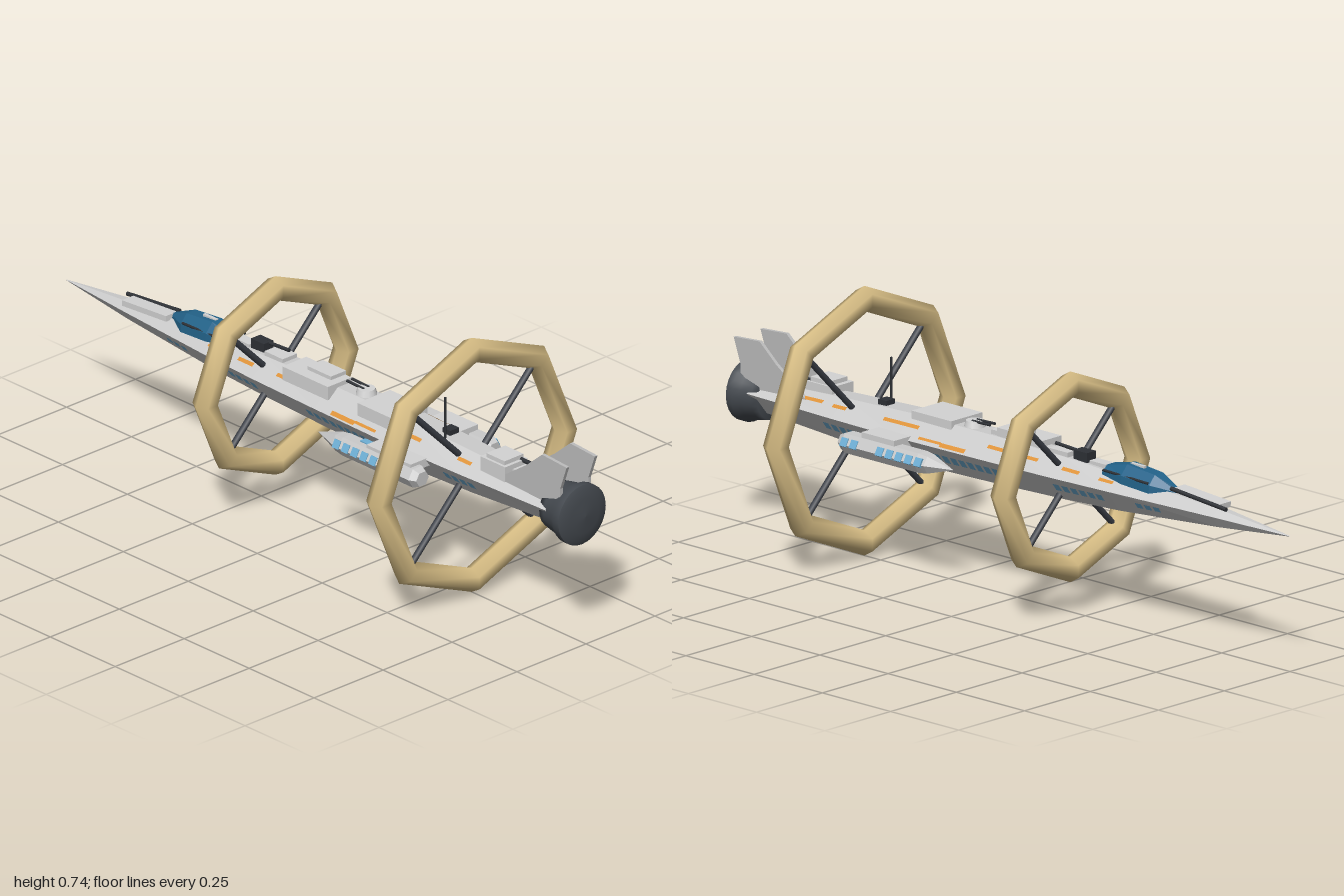
import * as THREE from 'three';

const mat = (name, color, side = THREE.FrontSide) => {
  const m = new THREE.MeshStandardMaterial({ color, side });
  m.name = name;
  return m;
};

// Hull stations: z, half width, keel y, shoulder y, deck y
const STATIONS = [
  [-1, 0.001, 0.374, 0.375, 0.376],
  [-0.75, 0.036, 0.352, 0.384, 0.401],
  [-0.4, 0.072, 0.329, 0.39, 0.425],
  [-0.2, 0.083, 0.321, 0.39, 0.436],
  [0.05, 0.09, 0.314, 0.39, 0.442],
  [0.35, 0.095, 0.309, 0.39, 0.443],
  [0.6, 0.088, 0.317, 0.39, 0.434],
  [0.92, 0.074, 0.335, 0.39, 0.418],
];
const DECK = 0.32, KEEL = 0.38;

// Interpolated station at any z
function stationAt(z) {
  let i = 0;
  while (i < STATIONS.length - 2 && STATIONS[i + 1][0] < z) i++;
  const a = STATIONS[i], b = STATIONS[i + 1], t = (z - a[0]) / (b[0] - a[0]);
  return a.map((v, k) => v + (b[k] - v) * t);
}
const deckY = (z) => stationAt(z)[4];

// Flat-shaded skin over cross-sections ordered by rising z, points counterclockwise from +z
function loft(sections) {
  const pos = [], n = sections[0].length;
  const tri = (...pts) => pts.forEach((p) => pos.push(...p));
  for (let i = 0; i < sections.length - 1; i++) {
    for (let j = 0; j < n; j++) {
      const k = (j + 1) % n, s = sections[i], e = sections[i + 1];
      tri(s[j], s[k], e[k]);
      tri(s[j], e[k], e[j]);
    }
  }
  const first = sections[0], last = sections[sections.length - 1];
  for (let j = 1; j < n - 1; j++) {
    tri(first[0], first[j + 1], first[j]);
    tri(last[0], last[j], last[j + 1]);
  }
  const g = new THREE.BufferGeometry();
  g.setAttribute('position', new THREE.Float32BufferAttribute(pos, 3));
  g.computeVertexNormals();
  return g;
}

const hexSection = (x, y, z, rx, ry) => [0, 1, 2, 3, 4, 5].map((i) => {
  const a = i * Math.PI / 3;
  return [x + rx * Math.cos(a), y + ry * Math.sin(a), z];
});

export function createModel() {
  const model = new THREE.Group();
  model.name = 'spaceship';
  const hullGrey = mat('hullGrey', 0xcbcbcb);
  const panelGrey = mat('panelGrey', 0xd4d4d4);
  const finGrey = mat('finGrey', 0xbcbcbc);
  const ringTan = mat('ringTan', 0xd9bf86);
  const strutDark = mat('strutDark', 0x3c4048);
  const engineDark = mat('engineDark', 0x454a50);
  const gunDark = mat('gunDark', 0x2e3136);
  const canopyBlue = mat('canopyBlue', 0x23638a);
  const windowBlue = mat('windowBlue', 0x6fb0d6, THREE.DoubleSide);
  const stripeOrange = mat('stripeOrange', 0xdd9238, THREE.DoubleSide);

  const add = (name, geometry, material, x = 0, y = 0, z = 0) => {
    const m = new THREE.Mesh(geometry, material);
    m.name = name;
    m.position.set(x, y, z);
    model.add(m);
    return m;
  };
  // Box given by its extents
  const box = (name, material, x0, x1, y0, y1, z0, z1) => add(name,
    new THREE.BoxGeometry(x1 - x0, y1 - y0, z1 - z0), material,
    (x0 + x1) / 2, (y0 + y1) / 2, (z0 + z1) / 2);
  // Round bar between two points
  const bar = (name, material, a, b, r, sides = 8) => {
    const p = new THREE.Vector3(...a), d = new THREE.Vector3(...b).sub(p);
    const m = add(name, new THREE.CylinderGeometry(r, r, d.length(), sides), material);
    m.position.copy(p).addScaledVector(d, 0.5);
    m.quaternion.setFromUnitVectors(new THREE.Vector3(0, 1, 0), d.normalize());
    return m;
  };

  // Hull
  add('hull', loft(STATIONS.map(([z, w, lo, mid, hi]) => [
    [w, mid, z], [w * DECK, hi, z], [-w * DECK, hi, z],
    [-w, mid, z], [-w * KEEL, lo, z], [w * KEEL, lo, z],
  ])), hullGrey);

  // Thin plate lying on an upper or lower hull side, t runs from the shoulder outwards
  const hullPlate = (name, material, side, upper, z0, z1, t0, t1) => {
    const point = (z, t) => {
      const [, w, lo, mid, hi] = stationAt(z);
      const end = upper ? DECK : KEEL;
      return [side * (w * (1 + (end - 1) * t) + 0.002),
        mid + ((upper ? hi : lo) - mid) * t + (upper ? 0.003 : -0.002), z];
    };
    const c = [point(z0, t0), point(z1, t0), point(z1, t1), point(z0, t1)];
    const order = side * (upper ? 1 : -1) > 0 ? [0, 2, 1, 0, 3, 2] : [0, 1, 2, 0, 2, 3];
    const g = new THREE.BufferGeometry();
    g.setAttribute('position', new THREE.Float32BufferAttribute(order.flatMap((i) => c[i]), 3));
    g.computeVertexNormals();
    add(name, g, material);
  };

  for (const side of [-1, 1]) {
    // Rows of hull windows: start z, count
    for (const [start, count] of [[-0.565, 3], [-0.37, 6], [0.0, 8], [0.53, 4]]) {
      for (let i = 0; i < count; i++) {
        const z = start + i * 0.03;
        hullPlate('hullWindow', windowBlue, side, false, z, z + 0.021, 0.25, 0.54);
      }
    }
    // Orange markings
    for (const [z0, z1, t0, t1] of [
      [-0.4, -0.35, 0.4, 0.56], [-0.28, -0.22, 0.4, 0.56], [-0.13, 0.05, 0.46, 0.6],
      [0.11, 0.2, 0.04, 0.2], [0.2, 0.28, 0.12, 0.22], [0.3, 0.43, 0.46, 0.6],
      [0.57, 0.62, 0.45, 0.6], [0.66, 0.79, 0.5, 0.66],
    ]) hullPlate('orangeMarking', stripeOrange, side, true, z0, z1, t0, t1);
  }

  // Eight-sided rings with diagonal struts
  for (const [z, outer] of [[0.56, 0.371], [-0.195, 0.29]]) {
    add('ring', new THREE.TorusGeometry(outer - 0.035, 0.035, 6, 8), ringTan, 0, 0.374, z);
    for (let i = 0; i < 4; i++) {
      const a = Math.PI / 4 + i * Math.PI / 2, r = outer - 0.06;
      bar('strut', strutDark, [0.03 * Math.cos(a), 0.374 + 0.03 * Math.sin(a), z],
        [r * Math.cos(a), 0.374 + r * Math.sin(a), z], 0.009);
    }
  }

  // Engine bell with a shallow domed end
  const bell = [[0, 0.89], [0.066, 0.89], [0.07, 0.91], [0.076, 0.945], [0.086, 0.965], [0.086, 0.985]];
  add('engineBell', new THREE.LatheGeometry(bell.map(([r, z]) => new THREE.Vector2(r, z)), 24), engineDark, 0, 0.375)
    .rotation.x = Math.PI / 2;
  const dome = [[0.086, 0.985], [0.075, 0.99], [0.05, 0.996], [0, 1]];
  add('engineDome', new THREE.LatheGeometry(dome.map(([r, z]) => new THREE.Vector2(r, z)), 24), engineDark, 0, 0.375)
    .rotation.x = Math.PI / 2;

  // Twin tail fins, profile drawn in z and y
  const fin = new THREE.Shape([[0.985, 0.53], [0.89, 0.536], [0.83, 0.485], [0.72, 0.41], [0.96, 0.4], [0.96, 0.46]]
    .map(([z, y]) => new THREE.Vector2(-z, y)));
  for (const x of [-0.051, 0.051]) {
    add('tailFin', new THREE.ExtrudeGeometry(fin, { depth: 0.01, bevelEnabled: false }), finGrey, x - 0.005)
      .rotation.y = Math.PI / 2;
  }

  // Side pods with pylons and windows
  for (const side of [-1, 1]) {
    const x = side * 0.131, y = 0.358;
    add('sidePod', loft([
      hexSection(x, y, 0.11, 0.001, 0.001), hexSection(x, y, 0.19, 0.028, 0.027),
      hexSection(x, y, 0.22, 0.033, 0.031), hexSection(x, y, 0.49, 0.033, 0.031),
      hexSection(x, y, 0.51, 0.023, 0.022),
    ]), hullGrey);
    const [a, b] = [side * 0.075, side * 0.146].sort((p, q) => p - q);
    box('podPylon', panelGrey, a, b, 0.37, side > 0 ? 0.4 : 0.394, 0.31, side > 0 ? 0.43 : 0.48);
    for (const z of [0.2, 0.235, 0.27, 0.305, 0.34, 0.435, 0.47]) {
      if (side < 0 && z > 0.4) continue;
      const w = box('podWindow', windowBlue, -0.004, 0.004, -0.012, 0.012, -0.012, 0.012);
      w.position.set(side * 0.158, 0.364, z + 0.01);
      w.rotation.z = side * 0.5;
    }
  }
  box('podPanel', windowBlue, -0.132, -0.112, 0.381, 0.388, 0.27, 0.31);

  // Cockpit canopy: z, half width, base y, top y
  add('canopy', loft([
    [-0.6, 0.004, 0.405, 0.418], [-0.52, 0.04, 0.4, 0.449],
    [-0.42, 0.043, 0.405, 0.458], [-0.345, 0.037, 0.41, 0.442],
  ].map(([z, w, lo, hi]) => [
    [w, lo, z], [w * 0.95, (lo + hi) / 2, z], [w * 0.4, hi, z],
    [-w * 0.4, hi, z], [-w * 0.95, (lo + hi) / 2, z], [-w, lo, z],
  ])), canopyBlue);
  for (const side of [-1, 1]) {
    bar('canopyFrame', gunDark, [side * 0.036, 0.428, -0.515], [side * 0.036, 0.432, -0.35], 0.004, 6);
  }
  box('canopyGlint', panelGrey, -0.005, 0.005, 0.453, 0.46, -0.47, -0.42);

  // Nose panel and gun
  box('nosePanel', panelGrey, -0.035, 0.006, -0.008, 0.008, -0.085, 0.085)
    .position.set(-0.014, 0.411, -0.665);
  model.children[model.children.length - 1].rotation.x = -0.07;
  bar('noseGun', gunDark, [0.016, 0.424, -0.58], [0.014, 0.406, -0.78], 0.006);

  // Deck housings: x range, height above deck, z range, material
  for (const [x0, x1, h, z0, z1, m] of [
    [-0.016, 0.016, 0.01, -0.34, -0.28, panelGrey],
    [-0.014, 0.02, 0.026, -0.275, -0.225, gunDark],
    [-0.026, 0.026, 0.012, -0.21, -0.14, panelGrey],
    [-0.065, 0.022, 0.014, -0.1, 0.075, panelGrey],
    [-0.03, 0.025, 0.024, -0.04, 0.05, panelGrey],
    [-0.075, 0.043, 0.012, 0.2, 0.345, panelGrey],
    [-0.012, 0.02, 0.014, 0.46, 0.49, gunDark],
    [-0.058, 0.024, 0.022, 0.655, 0.75, panelGrey],
    [-0.05, 0.018, 0.034, 0.67, 0.74, panelGrey],
    [-0.03, 0.022, 0.012, 0.75, 0.8, panelGrey],
  ]) {
    const y = deckY((z0 + z1) / 2);
    box('deckHousing', m, x0, x1, y - 0.025, y + h, z0, z1);
  }

  // Deck guns and turret
  add('turret', new THREE.CylinderGeometry(0.024, 0.03, 0.02, 12), panelGrey, 0, 0.449, 0.155);
  for (const x of [-0.009, 0.009]) bar('turretBarrel', gunDark, [x, 0.458, 0.155], [x, 0.46, 0.09], 0.004);
  bar('forwardBarrel', gunDark, [0.008, 0.455, -0.24], [0.008, 0.46, -0.15], 0.005);
  bar('rearBarrel', gunDark, [0.01, 0.45, 0.73], [0.01, 0.447, 0.87], 0.006);

  // Antenna mast
  bar('antenna', gunDark, [-0.03, 0.42, 0.49], [-0.03, 0.557, 0.49], 0.003, 6);
  return model;
}
